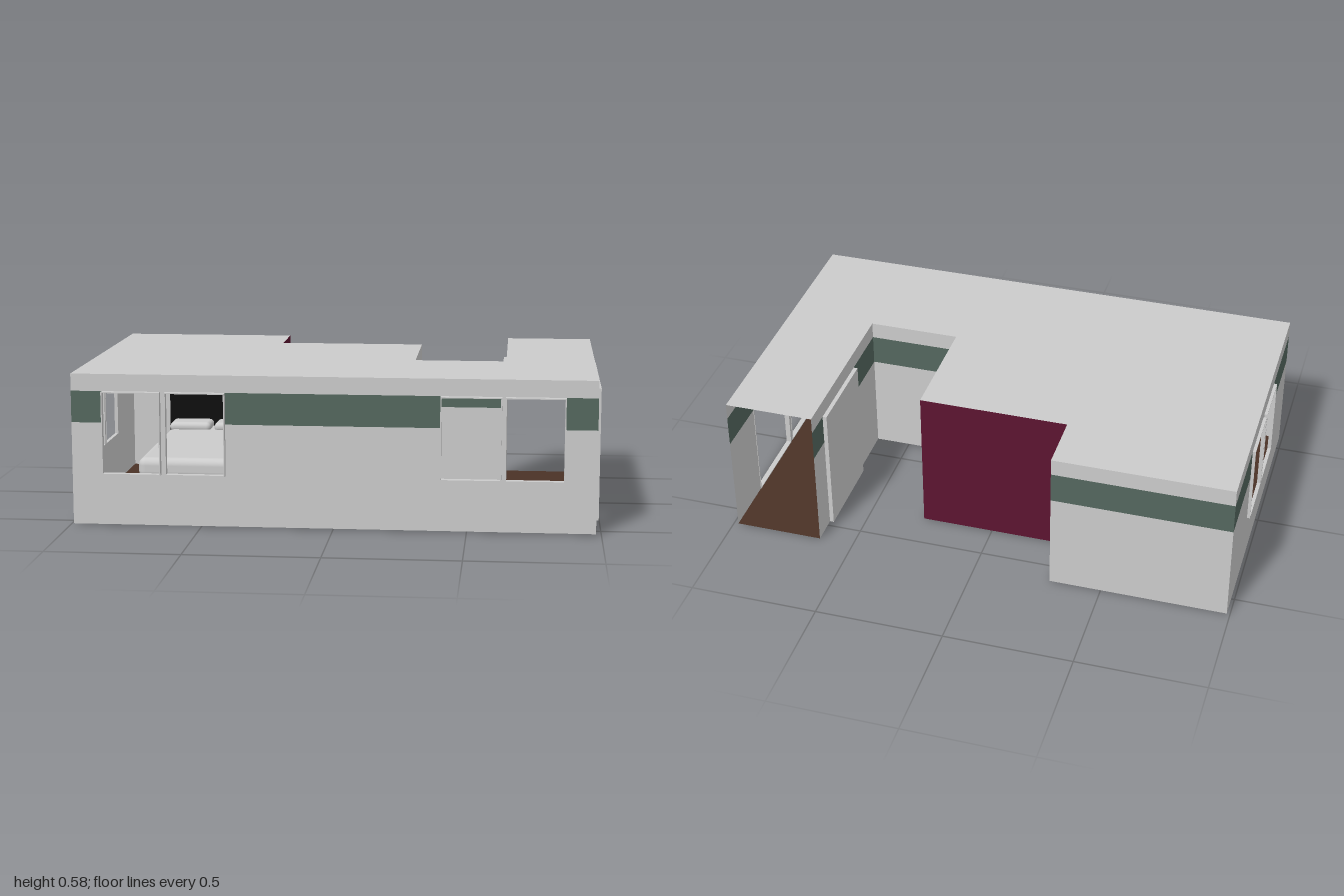
import * as THREE from 'three';
import { RoundedBoxGeometry } from 'three/addons/geometries/RoundedBoxGeometry.js';

const mat = (color) => new THREE.MeshStandardMaterial({ color, side: THREE.DoubleSide });
const grey = mat(0xcccccc), green = mat(0x54675e), maroon = mat(0x5c1430);
const brown = mat(0x4a3226), black = mat(0x0f0f0f);

// heights: floor, window sill, green band, opening head, roof
const FLOOR = 0.005, SILL = 0.2, BAND = 0.395, HEAD = 0.515, TOP = 0.58;
const ROWS = [
  [FLOOR, SILL, grey], [SILL, BAND, grey], [BAND, HEAD, green], [HEAD, TOP, grey],
];

// house outline as x, z, counter-clockwise from the front right corner seen in plan
const OUTLINE = [
  [-0.988, 0.57], [0.98, 0.57], [0.98, -0.593], [0.635, -0.593], [0.635, 0.1],
  [0.28, 0.1], [0.28, -0.36], [-0.3, -0.36], [-0.3, -0.593], [-0.988, -0.593],
];

function box(parent, name, material, x0, x1, y0, y1, z0, z1) {
  const m = new THREE.Mesh(new THREE.BoxGeometry(x1 - x0, y1 - y0, z1 - z0), material);
  m.position.set((x0 + x1) / 2, (y0 + y1) / 2, (z0 + z1) / 2);
  m.name = name;
  parent.add(m);
  return m;
}

function plate(parent, name, material, x0, x1, y0, y1) {
  const m = new THREE.Mesh(new THREE.PlaneGeometry(x1 - x0, y1 - y0), material);
  m.position.set((x0 + x1) / 2, (y0 + y1) / 2, 0);
  m.name = name;
  parent.add(m);
}

// horizontal slab following the outline
function slab(name, material, y) {
  const shape = new THREE.Shape(OUTLINE.map(([x, z]) => new THREE.Vector2(x, -z)));
  const m = new THREE.Mesh(new THREE.ShapeGeometry(shape).rotateX(-Math.PI / 2), material);
  m.position.y = y;
  m.name = name;
  return m;
}

// thin wall between outline points; local x runs along it, local z points outdoors
// openings: [start, end, bottom]
function wall(name, i, openings = [], plain = null) {
  const a = OUTLINE[i], b = OUTLINE[(i + 1) % OUTLINE.length];
  const dx = b[0] - a[0], dz = b[1] - a[1], length = Math.hypot(dx, dz);
  const g = new THREE.Group();
  g.name = name;
  g.position.set(a[0], 0, a[1]);
  g.rotation.y = -Math.atan2(dz, dx);
  if (plain) {
    plate(g, name + 'Panel', plain, 0, length, FLOOR, TOP);
    return g;
  }
  for (const [y0, y1, material] of ROWS) {
    let s = 0;
    for (const [o0, o1, bottom] of openings) {
      if (y0 < bottom || y1 > HEAD) continue;
      plate(g, 'wallBand', material, s, o0, y0, y1);
      s = o1;
    }
    plate(g, 'wallBand', material, s, length, y0, y1);
  }
  return g;
}

// pair of open frames standing proud of the wall, with a mullion between
function framePair(g, name, s, bottom, depth) {
  const t = 0.004, d0 = -0.002;
  for (const [l, r] of [[s[0], s[1]], [s[2], s[3]]]) {
    box(g, name + 'Jamb', grey, l, l + t, bottom, HEAD, d0, depth);
    box(g, name + 'Jamb', grey, r - t, r, bottom, HEAD, d0, depth);
    box(g, name + 'Head', grey, l, r, HEAD - t, HEAD, d0, depth);
    box(g, name + 'Sill', grey, l, r, bottom, bottom + t, d0, depth);
  }
  plate(g, name + 'Mullion', grey, s[1], s[2], bottom, HEAD);
}

function bed() {
  const g = new THREE.Group();
  g.name = 'bed';
  box(g, 'bedBase', black, -0.82, -0.405, 0.05, 0.112, -0.57, 0.24);
  for (const x of [-0.82, -0.43])
    for (const z of [-0.57, 0.215])
      box(g, 'bedLeg', black, x, x + 0.025, 0.001, 0.05, z, z + 0.025);
  box(g, 'headboard', black, -0.82, -0.405, 0.112, 0.4, -0.58, -0.55);
  const mattress = new THREE.Mesh(new RoundedBoxGeometry(0.39, 0.083, 0.78, 4, 0.03), grey);
  mattress.position.set(-0.6125, 0.1535, -0.155);
  mattress.name = 'mattress';
  g.add(mattress);
  for (const x of [-0.71, -0.52]) {
    const pillow = new THREE.Mesh(new RoundedBoxGeometry(0.175, 0.04, 0.12, 4, 0.019), grey);
    pillow.position.set(x, 0.205, -0.47);
    pillow.name = 'pillow';
    g.add(pillow);
  }
  return g;
}

export function createModel() {
  const house = new THREE.Group();
  house.name = 'house';
  house.add(slab('floor', brown, FLOOR), slab('roof', grey, TOP));

  // front wall with two window pairs
  const frontA = [0.118, 0.34, 0.358, 0.584], frontB = [1.388, 1.615, 1.628, 1.85];
  const front = wall('frontWall', 0, [
    [frontA[0], frontA[3], SILL], [frontB[0], frontB[3], SILL],
  ]);
  framePair(front, 'frontWindow', frontA, SILL, 0.024);
  framePair(front, 'frontWindow', frontB, SILL, 0.024);

  // side wall at +x with the large doorway pair
  const doors = [0.235, 0.575, 0.592, 0.927];
  const doorWall = wall('doorWall', 1, [[doors[0], doors[3], FLOOR]]);
  framePair(doorWall, 'sideDoor', doors, FLOOR, 0.018);

  // side wall at -x with one window pair
  const side = [0.343, 0.573, 0.593, 0.81];
  const windowWall = wall('windowWall', 9, [[side[0], side[3], SILL]]);
  framePair(windowWall, 'sideWindow', side, SILL, 0.012);

  // courtyard wall with its closed sliding panel
  const court = wall('courtyardSideWall', 3, [[0.113, 0.463, FLOOR]]);
  box(court, 'slidingPanel', grey, 0.113, 0.463, FLOOR, HEAD, -0.002, 0.016);

  // the back end of the +x wing stays open
  house.add(
    front, doorWall, windowWall, court,
    wall('courtyardBackWall', 4),
    wall('courtyardInnerWall', 5),
    wall('accentWall', 6, [], maroon),
    wall('accentReturn', 7, [], maroon),
    wall('backWall', 8),
  );

  // indoor furnishings
  house.add(bed());
  box(house, 'indoorPartition', black, -0.308, -0.296, 0, HEAD, -0.355, -0.09);
  box(house, 'indoorScreen', black, 0.12, 0.26, 0, HEAD, 0.02, 0.033);
  return house;
}
